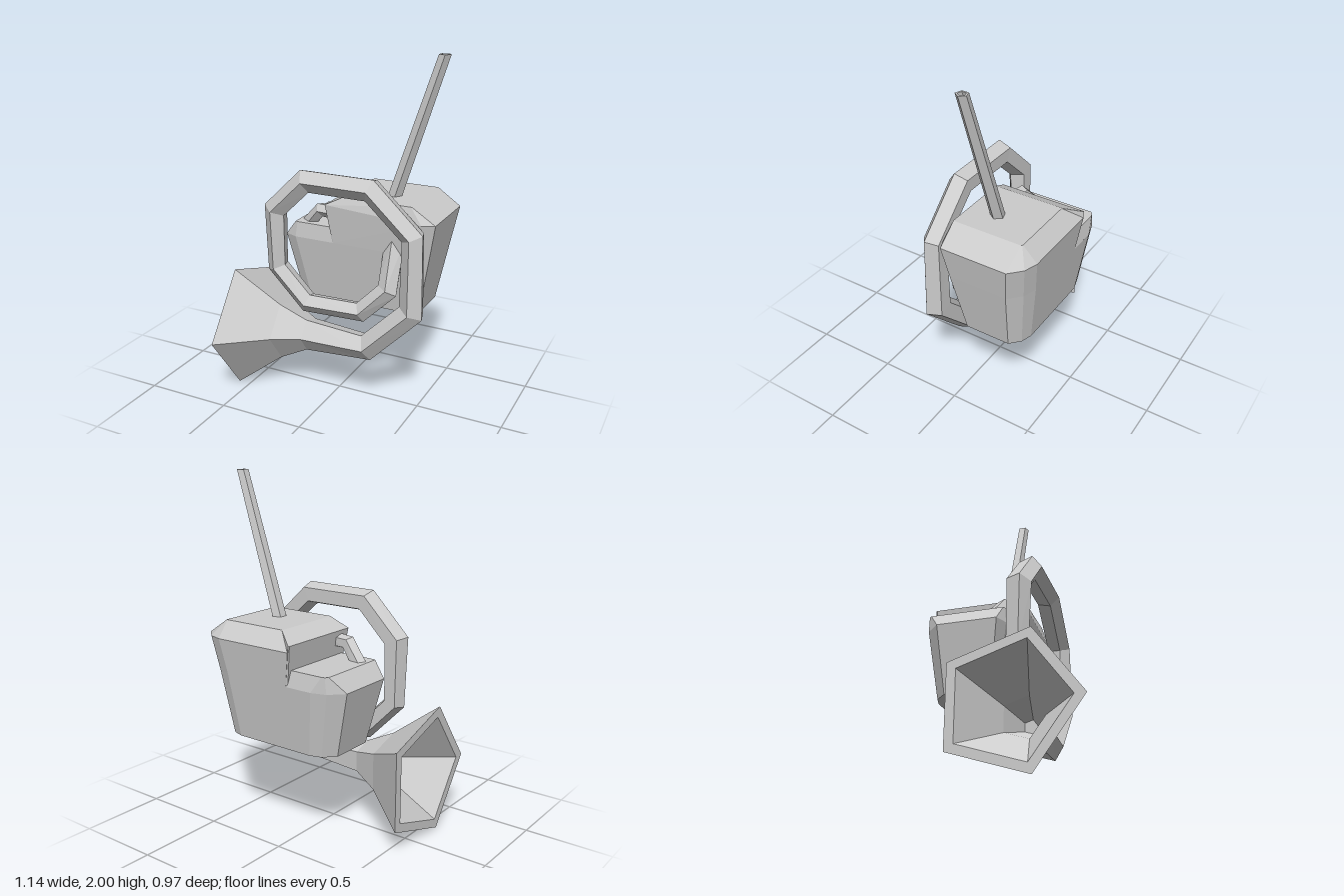
import * as THREE from 'three';

const V = (x, y, z) => new THREE.Vector3(x, y, z);

// Skin a stack of rings (equal point counts), closing both ends
function loft(name, rings) {
  const pos = [];
  const tri = (...p) => p.forEach((q) => pos.push(q.x, q.y, q.z));
  const n = rings[0].length;
  for (let k = 0; k + 1 < rings.length; k++) {
    const a = rings[k], b = rings[k + 1];
    for (let i = 0; i < n; i++) {
      const j = (i + 1) % n;
      tri(a[i], a[j], b[j]);
      tri(a[i], b[j], b[i]);
    }
  }
  const first = rings[0], last = rings[rings.length - 1];
  for (let i = 1; i + 1 < n; i++) {
    tri(first[0], first[i + 1], first[i]);
    tri(last[0], last[i], last[i + 1]);
  }
  const geo = new THREE.BufferGeometry();
  geo.setAttribute('position', new THREE.Float32BufferAttribute(pos, 3));
  geo.computeVertexNormals();
  const mesh = new THREE.Mesh(geo, new THREE.MeshStandardMaterial({ color: 0xcccccc, flatShading: true }));
  mesh.name = name;
  return mesh;
}

// Five-sided ring around a centre, facing along t
function pentagon(c, t, r, ref = V(0, 0, 1)) {
  const e2 = t.clone().cross(ref).normalize();
  const e1 = e2.clone().cross(t).normalize();
  return Array.from({ length: 5 }, (_, i) => {
    const a = (i * Math.PI * 2) / 5;
    return c.clone().addScaledVector(e1, r * Math.cos(a)).addScaledVector(e2, r * Math.sin(a));
  });
}

// Rings along a path of [x, y, z, radius], mitred at the bends
function pathRings(path) {
  const p = path.map(([x, y, z]) => V(x, y, z));
  return p.map((c, i) => {
    const t = V(0, 0, 0);
    if (i > 0) t.add(c.clone().sub(p[i - 1]).normalize());
    if (i + 1 < p.length) t.add(p[i + 1].clone().sub(c).normalize());
    return pentagon(c, t.normalize(), path[i][3]);
  });
}

// Rectangle with faceted corners; kl and kr scale the left-hand and right-hand cuts
function bodyRing(y, x0, x1, z0, z1, kl, kr, yEdge = y) {
  return [
    V(x1, y, z1 - 0.03 * kr), V(x1, y, z0 + 0.09 * kr),
    V(x1 - 0.07 * kr, y, z0 + 0.025 * kr), V(x1 - 0.15 * kr, y, z0),
    V(x0 + 0.16 * kl, y, z0), V(x0 + 0.075 * kl, yEdge, z0 + 0.025 * kl),
    V(x0, yEdge, z0 + 0.1 * kl), V(x0, yEdge, z1 - 0.03 * kl),
    V(x0 + 0.075 * kl, yEdge, z1), V(x1 - 0.07 * kr, y, z1),
  ];
}

export function createModel() {
  const model = new THREE.Group();

  // Tapered tank with a recessed underside
  model.add(loft('tankBody', [
    bodyRing(0.6, -0.15, 0.34, -0.33, -0.14, 0.4, 0.4),
    bodyRing(0.55, -0.18, 0.37, -0.35, -0.12, 0.5, 0.5),
    bodyRing(0.55, -0.28, 0.46, -0.415, -0.055, 0.8, 0.8),
    bodyRing(0.92, -0.36, 0.533, -0.461, 0.003, 1, 1),
  ]));

  // Low shoulder on one side, taller block on the other
  model.add(loft('tankShoulder', [
    bodyRing(0.92, -0.36, 0.05, -0.461, 0.003, 1, 0.05),
    bodyRing(1.01, -0.29, 0.05, -0.443, -0.005, 0.2, 0.05),
  ]));
  model.add(loft('tankUpperBlock', [
    bodyRing(0.92, -0.045, 0.533, -0.461, 0.003, 0.06, 1),
    bodyRing(1.115, -0.08, 0.57, -0.485, 0.03, 0.06, 1, 1.15),
    bodyRing(1.205, 0.03, 0.435, -0.405, 0.01, 0.06, 0.06),
  ]));

  // Bent pipe joining the block to the shoulder
  model.add(loft('elbowPipe', pathRings([
    [-0.03, 1.09, -0.035, 0.042], [-0.145, 1.09, -0.055, 0.042], [-0.24, 0.985, -0.085, 0.042],
  ])));

  // Leaning hollow rod
  const up = V(0, 1, 0), side = V(1, 0, 0);
  model.add(loft('rod', [
    pentagon(V(0.25, 1.15, -0.157), up, 0.042, side),
    pentagon(V(0.535, 2, -0.138), up, 0.034, side),
    pentagon(V(0.535, 2, -0.138), up, 0.022, side),
    pentagon(V(0.521, 1.96, -0.139), up, 0.02, side),
  ]));

  // Horn: hollow bell first, then the coil winding back into the tank
  const bore = [[-0.15, 0.04], [-0.31, 0.12], [-0.57, 0.325]]
    .map(([x, r]) => pentagon(V(x, 0.372, 0.1), V(1, 0, 0), r));
  model.add(loft('coiledHorn', [...bore, ...pathRings([
    [-0.57, 0.372, 0.1, 0.386], [-0.31, 0.372, 0.1, 0.18], [-0.15, 0.372, 0.1, 0.1],
    [0.225, 0.372, 0.1, 0.079], [0.49, 0.64, 0.1, 0.076], [0.487, 1.067, 0.1, 0.068],
    [0.235, 1.3, 0.1, 0.07], [-0.157, 1.3, 0.1, 0.07], [-0.356, 1.105, 0.095, 0.07],
    [-0.355, 0.755, 0.085, 0.062], [-0.165, 0.56, 0.08, 0.062], [0.17, 0.565, 0.068, 0.06],
    [0.325, 0.718, 0.05, 0.062], [0.325, 0.98, -0.045, 0.06],
  ])]));

  return model;
}
